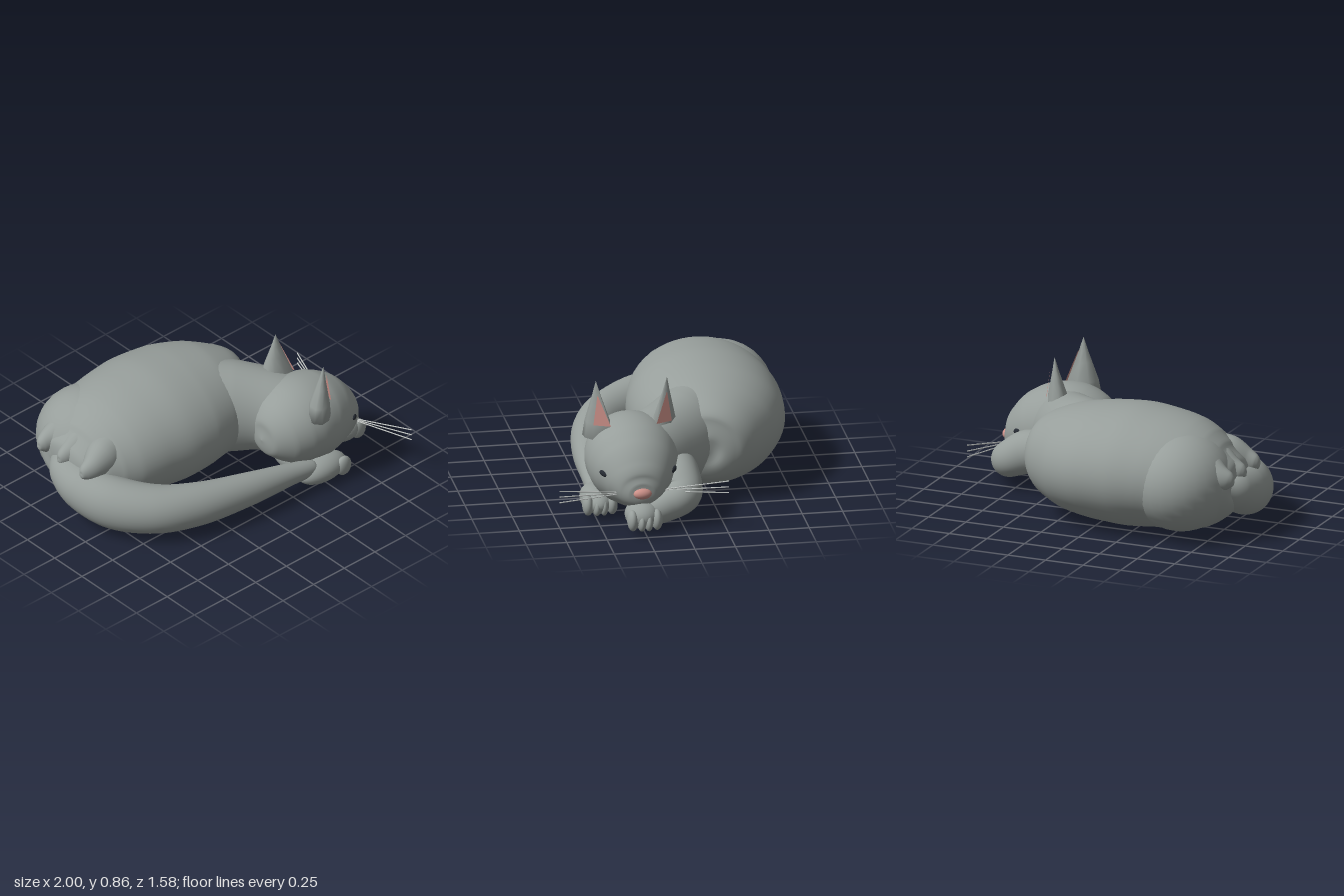
import * as THREE from 'three';

const V = (x, y, z) => new THREE.Vector3(x, y, z);
const MID = 0.265; // z of the head's centre plane

// Smooth tube through stations [x, y, z, sideRadius, upRadius]
function sweep(stations, steps = 60, sides = 40) {
  const path = new THREE.CatmullRomCurve3(stations.map(s => V(s[0], s[1], s[2])));
  const radii = new THREE.CatmullRomCurve3(stations.map(s => V(s[3], s[4] ?? s[3], 0)));
  const pos = [], index = [];
  for (let i = 0; i <= steps; i++) {
    const t = i / steps;
    const c = path.getPoint(t), r = radii.getPoint(t), tan = path.getTangent(t);
    const side = V(0, 1, 0).cross(tan).normalize();
    const up = tan.clone().cross(side);
    for (let j = 0; j < sides; j++) {
      const a = (j / sides) * Math.PI * 2;
      const p = c.clone()
        .addScaledVector(side, Math.max(r.x, 0) * Math.cos(a))
        .addScaledVector(up, Math.max(r.y, 0) * Math.sin(a));
      pos.push(p.x, p.y, p.z);
      if (i < steps) {
        const k = (j + 1) % sides, b = i * sides, n = b + sides;
        index.push(b + j, b + k, n + j, b + k, n + k, n + j);
      }
    }
  }
  const g = new THREE.BufferGeometry();
  g.setAttribute('position', new THREE.Float32BufferAttribute(pos, 3));
  g.setIndex(index);
  g.computeVertexNormals();
  return g;
}

// Rounded ear with a flat front, tapering to a point; side is +1 or -1
const EAR_TIP = [0.51, 0.22];
const EAR_RING = [[0.586, 0.145], [0.545, 0.238], [0.5, 0.275], [0.45, 0.28],
  [0.422, 0.25], [0.42, 0.2], [0.45, 0.16], [0.515, 0.13]];
function earGeometry(side) {
  const levels = [[0.485, 0], [0.486, 1.2], [0.585, 1], [0.7, 0.56], [0.77, 0.29], [0.81, 0.16], [0.855, 0]];
  const n = EAR_RING.length, pos = [], index = [];
  levels.forEach(([y, s], i) => EAR_RING.forEach(([x, z], j) => {
    pos.push(EAR_TIP[0] + (x - EAR_TIP[0]) * s, y, MID + side * (EAR_TIP[1] + (z - EAR_TIP[1]) * s));
    if (i === levels.length - 1) return;
    const a = i * n + j, b = i * n + (j + 1) % n;
    if (side > 0) index.push(a, a + n, b, b, a + n, b + n);
    else index.push(a, b, a + n, b, b + n, a + n);
  }));
  const g = new THREE.BufferGeometry();
  g.setAttribute('position', new THREE.Float32BufferAttribute(pos, 3));
  g.setIndex(index);
  g.computeVertexNormals();
  return g;
}

// Thin triangle lying just in front of the ear
function innerEarGeometry(side) {
  const pts = [[0.597, 0.583, 0.139], [0.554, 0.583, 0.241], [0.541, 0.772, 0.213]];
  const g = new THREE.BufferGeometry();
  g.setAttribute('position', new THREE.Float32BufferAttribute(
    pts.flatMap(([x, y, z]) => [x, y, MID + side * (z + 0.002)]), 3));
  g.setIndex(side > 0 ? [0, 2, 1] : [0, 1, 2]);
  g.computeVertexNormals();
  return g;
}

export function createModel() {
  const root = new THREE.Group();
  const material = (name, color, extra = {}) =>
    Object.assign(new THREE.MeshStandardMaterial({ color, ...extra }), { name });
  const fur = material('greyFur', 0x979e9b);
  const pink = material('pinkSkin', 0xcb9088, { side: THREE.DoubleSide });
  const dark = material('darkEye', 0x262b33);
  const pale = material('paleWhisker', 0xc4c8c6);

  const add = (name, geometry, mat = fur) => {
    const m = new THREE.Mesh(geometry, mat);
    m.name = name;
    root.add(m);
    return m;
  };
  const ball = (name, p, r, mat = fur) => {
    const m = add(name, new THREE.SphereGeometry(1, 28, 20), mat);
    m.position.set(...p);
    m.scale.set(...r);
    return m;
  };

  // Torso and haunch
  add('body', sweep([
    [-0.895, 0.36, -0.32, 0, 0], [-0.875, 0.36, -0.32, 0.19, 0.12], [-0.8, 0.35, -0.325, 0.29, 0.225],
    [-0.7, 0.345, -0.33, 0.36, 0.295], [-0.58, 0.35, -0.33, 0.415, 0.335], [-0.4, 0.37, -0.32, 0.455, 0.358],
    [-0.2, 0.373, -0.31, 0.48, 0.373], [0, 0.37, -0.30, 0.47, 0.36], [0.2, 0.36, -0.27, 0.41, 0.33],
    [0.35, 0.35, -0.24, 0.31, 0.275], [0.44, 0.34, -0.21, 0.2, 0.2], [0.475, 0.34, -0.2, 0.09, 0.09],
    [0.48, 0.34, -0.2, 0, 0],
  ], 80, 56));
  ball('haunch', [-0.56, 0.35, -0.45], [0.325, 0.31, 0.342]);
  add('neck', sweep([
    [0.0, 0.37, -0.3, 0.22, 0.24], [0.14, 0.37, -0.19, 0.265, 0.3], [0.27, 0.365, -0.08, 0.255, 0.295],
    [0.39, 0.36, 0.05, 0.235, 0.27], [0.5, 0.34, 0.2, 0.23, 0.25],
  ], 36));

  // Pointed tufts over the tail root
  for (const z of [-0.51, -0.325, -0.12]) {
    add('rumpTuft', sweep([
      [-0.62, 0.46, z * 0.8 - 0.065, 0.12, 0.13], [-0.74, 0.44, z * 0.9 - 0.03, 0.11, 0.125],
      [-0.84, 0.415, z, 0.07, 0.085], [-0.9, 0.405, z, 0.042, 0.055], [-0.925, 0.4, z, 0.018, 0.025],
      [-0.93, 0.4, z, 0, 0],
    ], 30, 24));
  }

  // Tail curling round the front
  add('tail', sweep([
    [-0.82, 0.33, -0.44, 0.06], [-0.845, 0.3, -0.34, 0.12], [-0.85, 0.25, -0.19, 0.148, 0.152],
    [-0.79, 0.21, 0.02, 0.155, 0.168], [-0.63, 0.19, 0.22, 0.148, 0.155], [-0.4, 0.182, 0.345, 0.13, 0.138],
    [-0.05, 0.172, 0.43, 0.1, 0.105], [0.25, 0.152, 0.465, 0.07], [0.42, 0.13, 0.48, 0.05], [0.47, 0.12, 0.48, 0],
  ], 90, 36));

  // Head with muzzle
  add('head', sweep([
    [0.195, 0.33, 0.27, 0, 0], [0.215, 0.33, 0.27, 0.11, 0.11], [0.3, 0.34, 0.27, 0.22, 0.21],
    [0.4, 0.35, 0.268, 0.27, 0.255], [0.5, 0.355, MID, 0.287, 0.27], [0.6, 0.335, MID, 0.28, 0.27],
    [0.7, 0.31, MID, 0.25, 0.24], [0.8, 0.275, MID, 0.195, 0.178], [0.87, 0.25, MID, 0.135, 0.115],
    [0.905, 0.245, MID, 0.08, 0.07], [0.918, 0.245, MID, 0, 0],
  ], 70, 48));
  ball('nose', [0.912, 0.253, MID], [0.034, 0.034, 0.056], pink);

  // Paired features of the face
  for (const side of [1, -1]) {
    add('ear', earGeometry(side));
    add('innerEar', innerEarGeometry(side), pink);
    const eye = ball('eye', [0.764, 0.344, MID + side * 0.214], [0.034, 0.018, 0.015], dark);
    eye.rotation.set(0, side * 0.72, -0.3);
    for (const tipY of [0.245, 0.282, 0.32]) {
      const path = new THREE.LineCurve3(V(0.84, 0.235 + (tipY - 0.245) * 0.15, MID + side * 0.13),
        V(0.96, tipY, MID + side * 0.525));
      add('whisker', new THREE.TubeGeometry(path, 1, 0.004, 6), pale);
    }
  }

  // Right foreleg, bent round beneath the chin
  add('rightForeleg', sweep([
    [0.44, 0.27, 0.05, 0.06], [0.53, 0.27, 0.0, 0.125], [0.66, 0.245, -0.005, 0.13, 0.135],
    [0.78, 0.185, 0.0, 0.12, 0.115], [0.83, 0.14, 0.1, 0.095, 0.1], [0.85, 0.11, 0.21, 0.085],
    [0.85, 0.1, 0.28, 0.05], [0.85, 0.1, 0.31, 0],
  ]));
  ball('rightPaw', [0.86, 0.105, 0.258], [0.125, 0.09, 0.108]);
  // Left foreleg, tucked under the head
  add('leftForeleg', sweep([
    [0.38, 0.25, 0.2, 0.08], [0.38, 0.17, 0.32, 0.09], [0.42, 0.11, 0.43, 0.075], [0.5, 0.09, 0.48, 0.05], [0.54, 0.09, 0.48, 0],
  ], 30));
  ball('leftPaw', [0.5, 0.092, 0.48], [0.18, 0.084, 0.1]);

  // Four toes on each paw, the outer ones larger
  const toes = (name, x, z) => {
    for (let i = 0; i < 4; i++) {
      const inner = i === 1 || i === 2;
      ball(name, [x + (inner ? 0.012 : 0), inner ? 0.078 : 0.09, z + (i - 1.5) * (inner ? 0.044 : 0.05)],
        [0.055, inner ? 0.055 : 0.066, inner ? 0.026 : 0.034]);
    }
  };
  toes('rightToe', 0.932, 0.255);
  toes('leftToe', 0.615, 0.478);

  return root;
}
